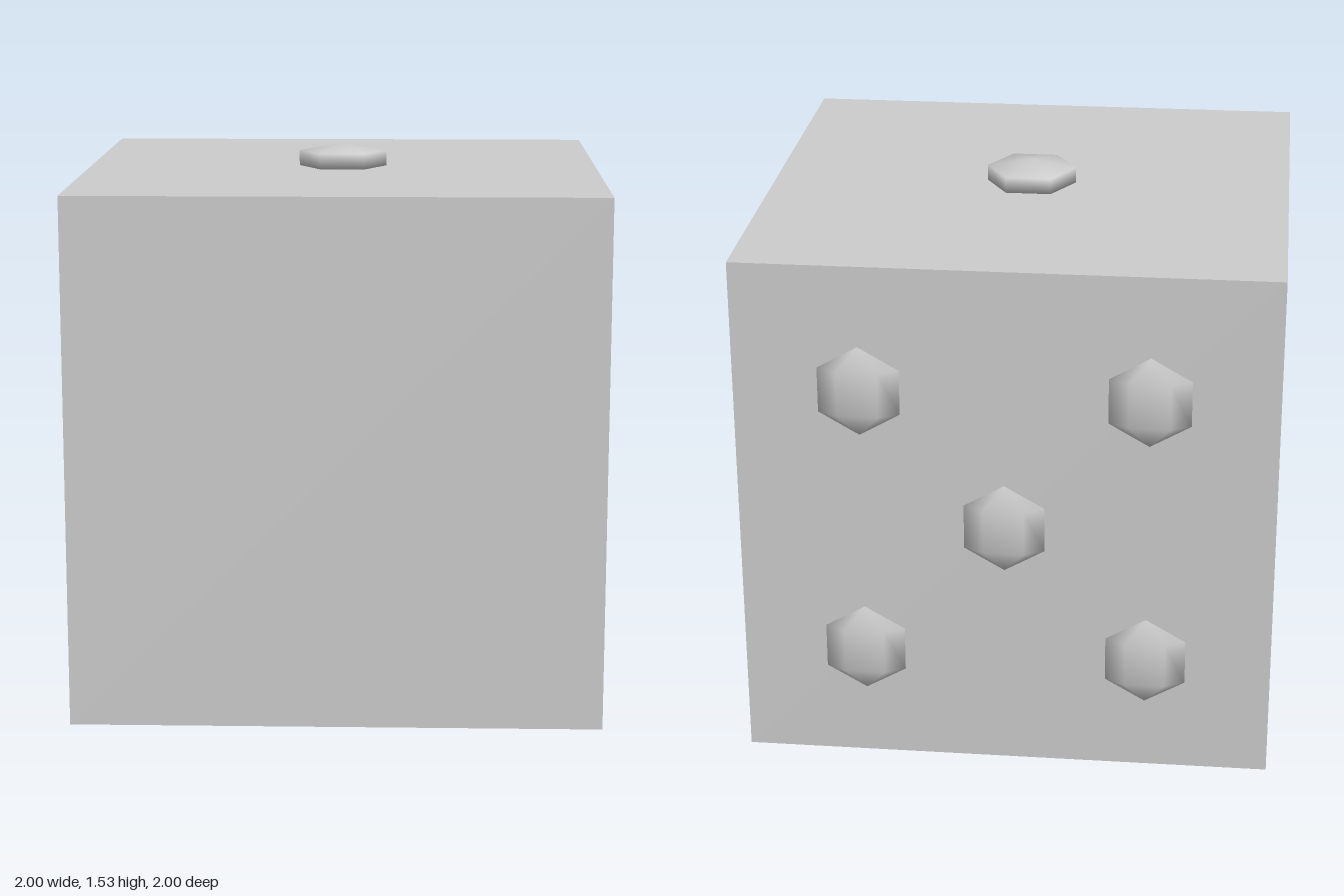
import * as THREE from 'three';

export function createModel() {
  const model = new THREE.Group();
  model.name = 'die';

  const grey = new THREE.MeshStandardMaterial({ color: 0xcccccc });
  grey.name = 'light grey';

  const size = 1.464, half = size / 2;
  const flatten = 0.3;   // pips are squashed against their face
  const proud = 0.022;   // pip centre above its face

  // Everything is built square, then turned about the vertical axis
  const turned = new THREE.Group();
  turned.name = 'turnedDie';
  turned.rotation.y = Math.PI / 6;
  model.add(turned);

  const body = new THREE.Mesh(new THREE.BoxGeometry(size, size, size), grey);
  body.name = 'body';
  body.position.y = half;
  turned.add(body);

  // Single pip on the top
  const topPip = new THREE.Mesh(new THREE.SphereGeometry(0.1464, 6, 3), grey);
  topPip.name = 'topPip';
  topPip.scale.y = flatten;
  topPip.position.y = size + proud;
  turned.add(topPip);

  // Five pips on the back
  const backPipGeometry = new THREE.SphereGeometry(0.127, 6, 3);
  const s = 0.388;
  for (const [x, y] of [[0, 0], [-s, -s], [s, -s], [-s, s], [s, s]]) {
    const pip = new THREE.Mesh(backPipGeometry, grey);
    pip.name = 'backPip';
    pip.scale.z = flatten;
    pip.position.set(x, half + y, -half - proud);
    turned.add(pip);
  }

  return model;
}
